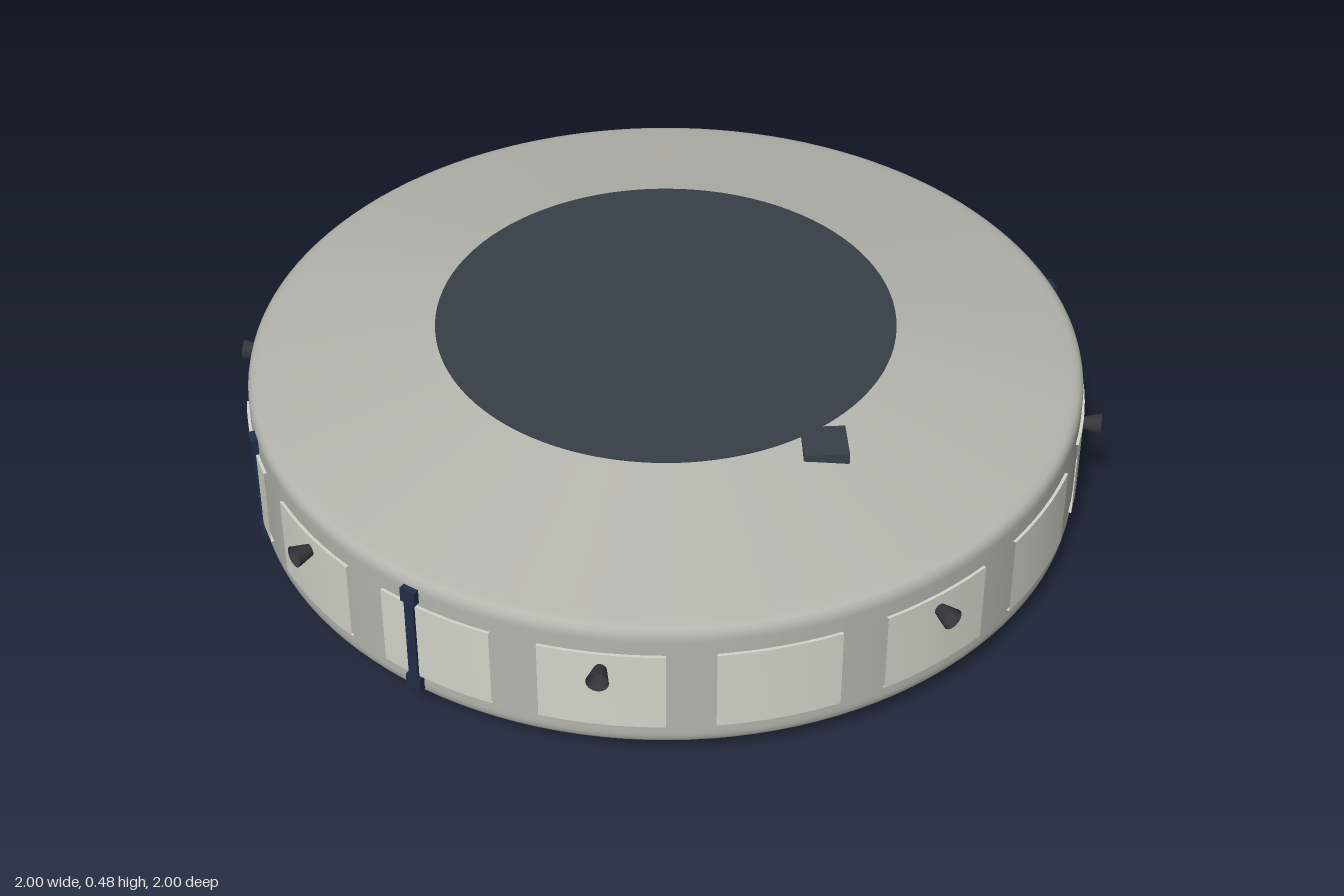
import * as THREE from 'three';
import { mergeGeometries, toCreasedNormals } from 'three/addons/utils/BufferGeometryUtils.js';

const material = (name, color, side = THREE.FrontSide) => {
  const m = new THREE.MeshStandardMaterial({ color, side });
  m.name = name;
  return m;
};
const lathe = (points, segments, start = 0, length = Math.PI * 2) =>
  new THREE.LatheGeometry(points.map(([r, y]) => new THREE.Vector2(r, y)), segments, start, length);

export function createModel() {
  const model = new THREE.Group();
  model.name = 'discSpacecraft';
  const hullGrey = material('hull grey', 0xb4b5ad);
  const panelGrey = material('pale panel', 0xd3d4c9, THREE.DoubleSide);
  const slate = material('dark slate', 0x383f47);
  const bellDark = material('thruster dark', 0x33363b, THREE.DoubleSide);
  const navy = material('solar navy', 0x222c48);

  const add = (name, geometry, mat, parent = model) => {
    const mesh = new THREE.Mesh(geometry, mat);
    mesh.name = name;
    parent.add(mesh);
    return mesh;
  };
  // Angles run from +z (front) towards +x
  const spoke = (name, degrees) => {
    const group = new THREE.Group();
    group.name = name;
    group.rotation.y = THREE.MathUtils.degToRad(degrees);
    model.add(group);
    return group;
  };
  const undersideY = r => 0.015 + (r - 0.29) * 0.0687;

  // Hull: shallow cone below, rounded rim, sloped roof
  add('hull', lathe([
    [0, 0.015], [0.29, 0.015], [0.6, undersideY(0.6)], [0.92, undersideY(0.92)],
    [0.942, 0.06], [0.956, 0.067], [0.963, 0.077], [0.965, 0.09], [0.965, 0.1],
    [0.965, 0.355], [0.965, 0.365], [0.962, 0.378], [0.954, 0.386], [0.942, 0.391],
    [0.92, 0.3957], [0.55, 0.4757], [0.53, 0.48],
  ], 128), hullGrey);

  // Roof disc and small roof hatch
  add('roofDisc', new THREE.CylinderGeometry(0.53, 0.53, 0.01, 96), slate).position.y = 0.476;
  add('roofHatch', new THREE.BoxGeometry(0.1, 0.033, 0.1), slate).position.set(0.32, 0.4665, 0.475);

  // Underside: central disc and two round covers
  add('bellyDisc', new THREE.CylinderGeometry(0.29, 0.29, 0.008, 64), slate).position.y = 0.015;
  for (const s of [1, -1]) {
    add('bellyCover', new THREE.CylinderGeometry(0.085, 0.085, 0.012, 40), hullGrey)
      .position.set(0.457 * s, 0.027, -0.308 * s);
  }

  // Solar array: dark backing with five rings of cells
  add('solarBacking', lathe([[0.58, undersideY(0.58) - 0.002], [0.94, undersideY(0.94) - 0.002]], 128), slate);
  const cells = [];
  const count = 72, step = Math.PI * 2 / count, rings = 5, depth = 0.36 / rings;
  for (let ring = 0; ring < rings; ring++) {
    const inner = 0.58 + ring * depth + 0.003, outer = inner + depth - 0.006;
    for (let i = 0; i < count; i++) {
      cells.push(lathe([[inner, undersideY(inner) - 0.005], [outer, undersideY(outer) - 0.005]],
        1, i * step + 0.003, step - 0.006));
    }
  }
  add('solarCells', mergeGeometries(cells), navy);

  // Sixteen curved panels around the rim
  const panelArc = THREE.MathUtils.degToRad(16.2);
  const panel = toCreasedNormals(lathe(
    [[0.96, 0.12], [0.972, 0.12], [0.972, 0.32], [0.96, 0.32]], 5, -panelArc / 2, panelArc), 0.6);
  for (let i = 0; i < 16; i++) add('rimPanel', panel, panelGrey, spoke('rimPanelMount', 11.25 + i * 22.5));

  // Open thruster bells: eight around the rim, four below
  const bell = new THREE.CylinderGeometry(0.011, 0.025, 0.052, 16, 1, true);
  for (let i = 0; i < 8; i++) {
    const mesh = add('rimThruster', bell, bellDark, spoke('rimThrusterMount', -11.25 + i * 45));
    mesh.position.set(0, 0.28, 0.987);
    mesh.rotation.x = -Math.PI / 2;
  }
  for (let i = 0; i < 4; i++) {
    add('bellyThruster', bell, bellDark, spoke('bellyThrusterMount', -11.25 + i * 90))
      .position.set(0, 0.026, 0.835);
  }

  // Upright rim bars with wider end clamps
  for (const angle of [-37, -75.6, 143, 104.4]) {
    const bar = spoke('rimBar', angle);
    add('barRod', new THREE.BoxGeometry(0.024, 0.28, 0.02), navy, bar).position.set(0, 0.222, 0.968);
    for (const y of [0.1, 0.347]) {
      add('barClamp', new THREE.BoxGeometry(0.038, 0.036, 0.024), navy, bar).position.set(0, y, 0.968);
    }
  }
  return model;
}
